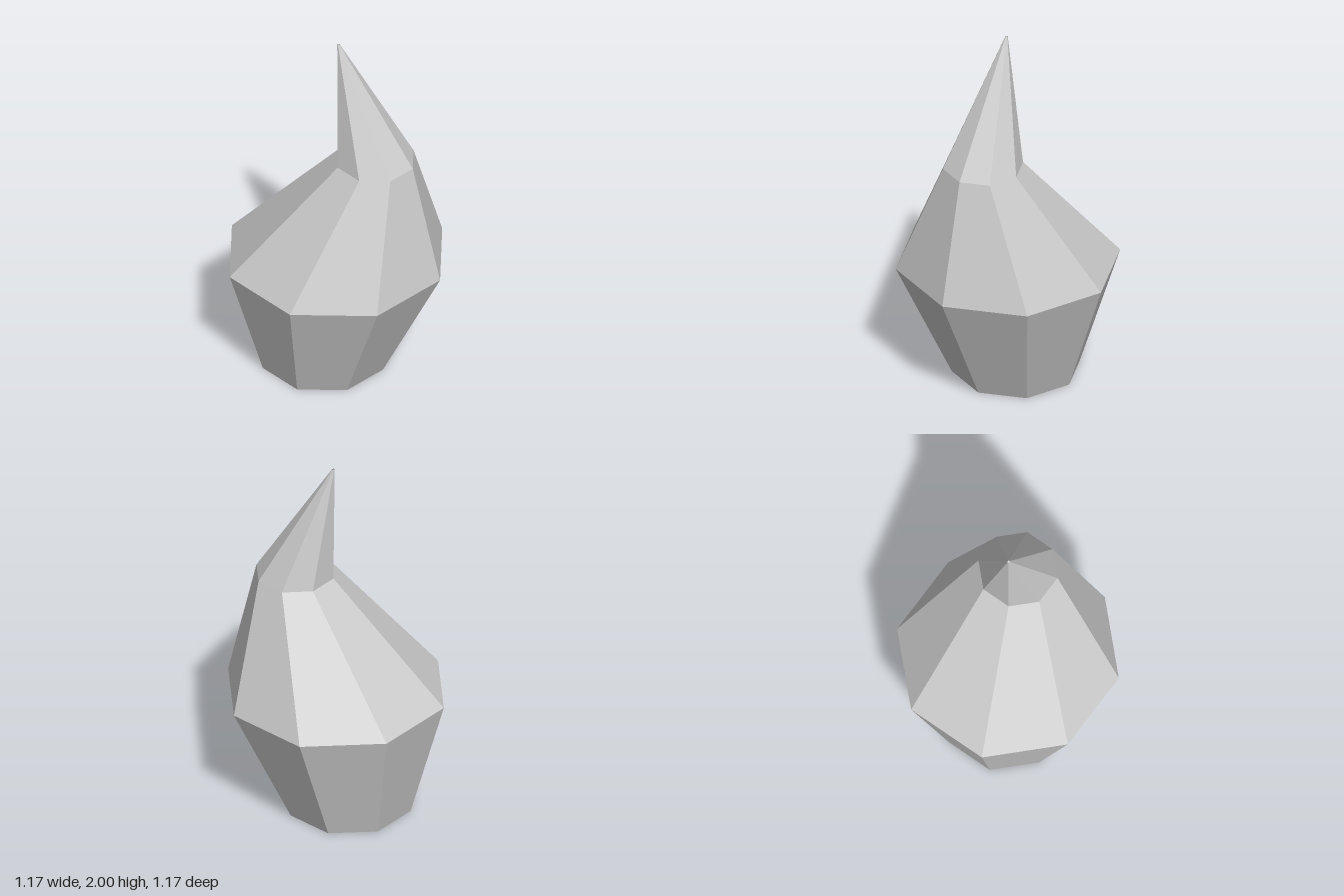
import * as THREE from 'three';

// Octagonal rings from bottom to tip: height, sideways offset, radius
const RINGS = [
  { y: 0, x: -0.07, r: 0.333 },
  { y: 0.667, x: 0, r: 0.583 },
  { y: 1.333, x: 0.222, r: 0.208 },
  { y: 2, x: 0.014, r: 0.007 },
];

export function createModel() {
  const group = new THREE.Group();
  group.name = 'bentSpire';

  const material = new THREE.MeshStandardMaterial({
    color: 0xcccccc, flatShading: true, side: THREE.DoubleSide,
  });
  material.name = 'light grey';

  // Hollow eight-sided shell, open at both ends; each ring is moved and scaled
  const geometry = new THREE.CylinderGeometry(1, 1, 3, 8, 3, true);
  const p = geometry.attributes.position;
  for (let i = 0; i < p.count; i++) {
    const ring = RINGS[Math.round(p.getY(i) + 1.5)];
    p.setXYZ(i, p.getX(i) * ring.r + ring.x, ring.y, p.getZ(i) * ring.r);
  }
  geometry.computeVertexNormals();

  const shell = new THREE.Mesh(geometry, material);
  shell.name = 'shell';
  group.add(shell);
  return group;
}
